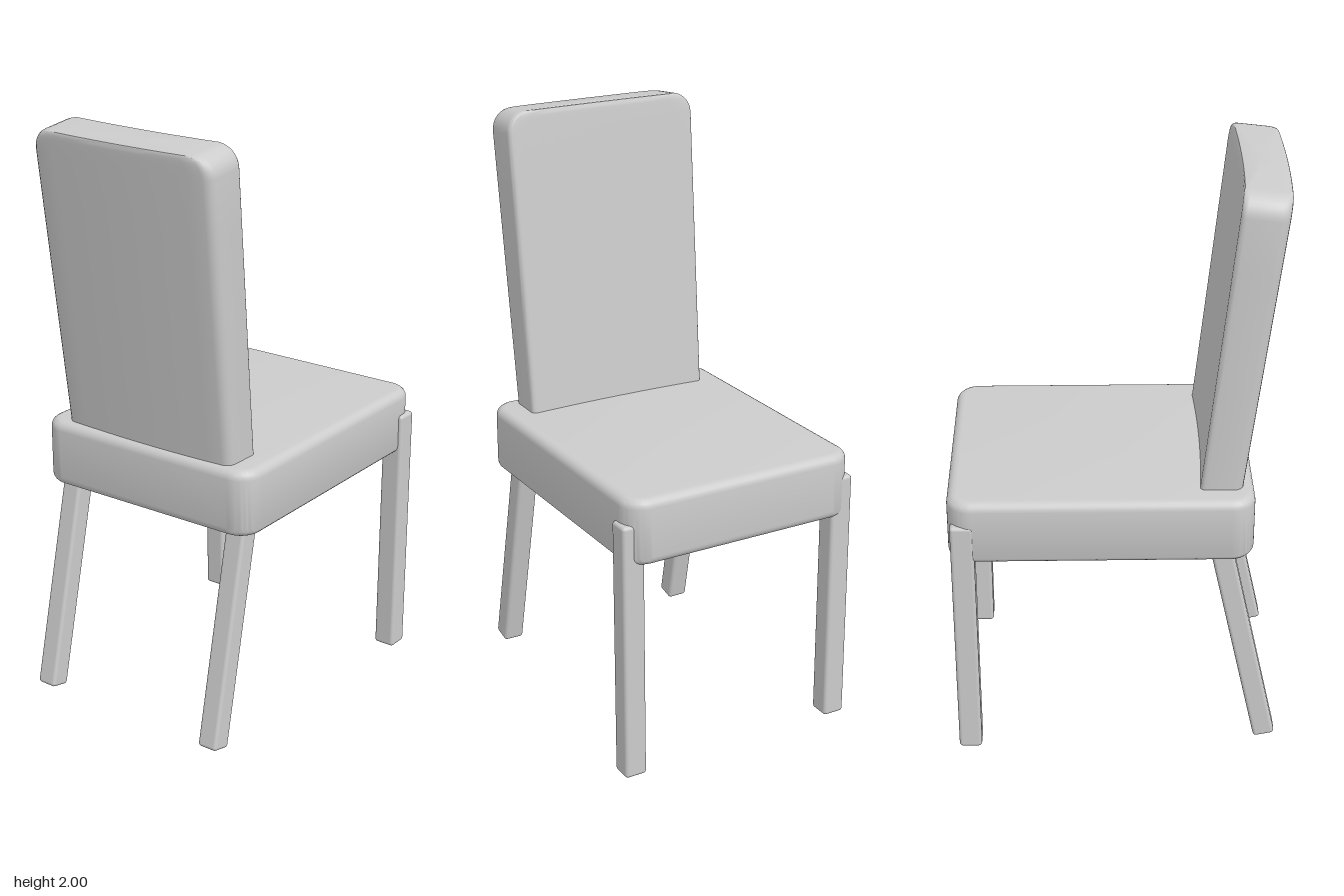
import * as THREE from 'three';
import { toCreasedNormals } from 'three/addons/utils/BufferGeometryUtils.js';
import { RoundedBoxGeometry } from 'three/addons/geometries/RoundedBoxGeometry.js';

const material = new THREE.MeshStandardMaterial({ color: 0xcccccc });

function part(name, geometry) {
  const mesh = new THREE.Mesh(geometry, material);
  mesh.name = name;
  return mesh;
}

// Cushioned seat: rounded rectangle with a soft bevel
function makeSeat() {
  const w = 0.42, l = 0.5, r = 0.08;
  const shape = new THREE.Shape();
  shape.absarc(w - r, l - r, r, 0, Math.PI / 2);
  shape.absarc(-w + r, l - r, r, Math.PI / 2, Math.PI);
  shape.absarc(-w + r, -l + r, r, Math.PI, Math.PI * 1.5);
  shape.absarc(w - r, -l + r, r, Math.PI * 1.5, Math.PI * 2);
  shape.closePath();
  const geo = new THREE.ExtrudeGeometry(shape, {
    depth: 0.165, curveSegments: 8,
    bevelThickness: 0.03, bevelSize: 0.03, bevelOffset: -0.03, bevelSegments: 5,
  });
  geo.rotateX(-Math.PI / 2);
  const seat = part('seat', toCreasedNormals(geo, 0.7));
  seat.position.set(-0.002, 0.79, -0.046);
  seat.rotation.y = 0.012;
  return seat;
}

// One horizontal slice of the backrest, gently bowed towards the rear
function backSection(w, d, y) {
  const pts = [];
  const add = (x, z) => pts.push([x, y, z + 0.012 * (1 - (x / 0.35) ** 2)]);
  const corner = (sx, sz, c, from) => {
    for (let i = 0; i <= 4; i++) {
      const a = from + (i / 4) * Math.PI / 2;
      add(sx * (w - c) + c * Math.cos(a), sz * (d / 2 - c) + c * Math.sin(a));
    }
  };
  const edge = (x0, x1, z) => {
    for (let i = 1; i < 12; i++) add(x0 + (x1 - x0) * i / 12, z);
  };
  // Angles run clockwise, so each corner is added and then reversed
  const turned = (...args) => {
    const start = pts.length;
    corner(...args);
    pts.push(...pts.splice(start).reverse());
  };
  turned(-1, 1, 0.03, Math.PI / 2);
  edge(-w + 0.03, w - 0.03, d / 2);
  turned(1, 1, 0.03, 0);
  turned(1, -1, 0.018, -Math.PI / 2);
  edge(w - 0.018, -w + 0.018, -d / 2);
  turned(-1, -1, 0.018, Math.PI);
  return pts;
}

// Backrest: slices lofted upwards, with rounded top corners
function makeBackrest() {
  const H = 1.105, W = 0.348, r = 0.07;
  const rings = [];
  for (let i = 0; i <= 6; i++) {
    const t = i / 6;
    rings.push(backSection(0.333 + 0.015 * t, 0.137 + 0.015 * t, (H - r) * t));
  }
  for (let i = 1; i <= 8; i++) {
    const a = (i / 8) * Math.PI / 2;
    const d = 0.152 - 0.014 * (1 - Math.cos(a)) ** 3;
    rings.push(backSection(W - r + r * Math.cos(a), d, H - r + r * Math.sin(a)));
  }
  const n = rings[0].length, index = [];
  const pos = rings.flat(2);
  pos.push(0, 0, 0.01, 0, H, 0.01);
  const bottom = n * rings.length, top = bottom + 1, last = bottom - n;
  for (let i = 0; i < n; i++) {
    const j = (i + 1) % n;
    for (let k = 0; k < last; k += n) {
      index.push(k + i, k + j, k + n + j, k + i, k + n + j, k + n + i);
    }
    index.push(bottom, j, i, top, last + i, last + j);
  }
  const geo = new THREE.BufferGeometry();
  geo.setAttribute('position', new THREE.Float32BufferAttribute(pos, 3));
  geo.setIndex(index);
  const back = part('backrest', toCreasedNormals(geo, 0.6));
  back.position.set(0, 0.9, 0.338);
  back.rotation.x = 0.112;
  return back;
}

// Square leg with softened edges, running from its foot to its top
function makeLeg(name, foot, head, size) {
  const a = new THREE.Vector3(...foot), b = new THREE.Vector3(...head);
  const axis = b.clone().sub(a);
  const leg = part(name, new RoundedBoxGeometry(size, axis.length(), size, 3, 0.012));
  leg.position.copy(a).add(b).multiplyScalar(0.5);
  leg.quaternion.setFromUnitVectors(new THREE.Vector3(0, 1, 0), axis.normalize());
  return leg;
}

export function createModel() {
  const chair = new THREE.Group();
  chair.name = 'chair';
  chair.add(
    makeSeat(),
    makeBackrest(),
    // Upright legs at the open end of the seat, overlapping its corners
    makeLeg('uprightLegLeft', [0.381, 0.003, -0.49], [0.387, 0.9, -0.49], 0.077),
    makeLeg('uprightLegRight', [-0.39, 0.015, -0.492], [-0.391, 0.9, -0.492], 0.077),
    // Splayed legs under the backrest
    makeLeg('splayedLegLeft', [0.341, 0.032, 0.517], [0.335, 0.86, 0.335], 0.073),
    makeLeg('splayedLegRight', [-0.355, 0.032, 0.517], [-0.347, 0.86, 0.335], 0.073),
  );
  return chair;
}
